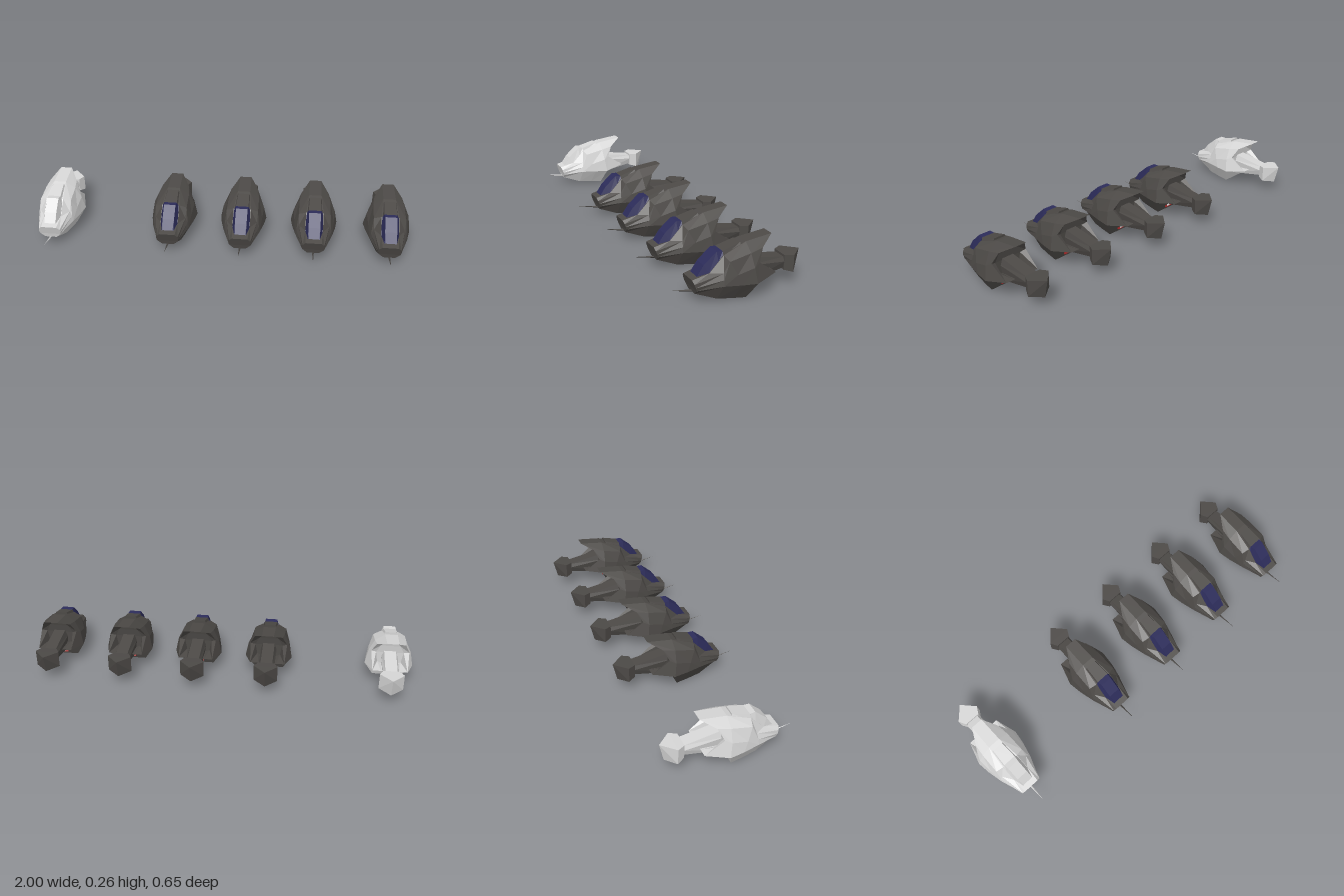
import * as THREE from 'three';

const mat = (name, color) => {
  const m = new THREE.MeshStandardMaterial({ color });
  m.name = name;
  return m;
};

// Faceted loft. Each ring lists the +x half from bottom to top as [x, y, z];
// it is mirrored to -x, and rings run from front to back.
function loft(halfRings) {
  const rings = halfRings.map(h => [
    ...h.map(p => new THREE.Vector3(...p)),
    ...[...h].reverse().map(([x, y, z]) => new THREE.Vector3(-x, y, z)),
  ]);
  const n = rings[0].length;
  const pos = [];
  const tri = (a, b, c) => {
    const area = b.clone().sub(a).cross(c.clone().sub(a)).length();
    if (area > 1e-8) for (const v of [a, b, c]) pos.push(v.x, v.y, v.z);
  };
  for (let i = 0; i + 1 < rings.length; i++) {
    for (let j = 0; j < n; j++) {
      const k = (j + 1) % n;
      const a = rings[i][j], b = rings[i][k];
      const c = rings[i + 1][k], d = rings[i + 1][j];
      // the diagonal flips on the mirrored half
      if (j < n / 2) { tri(a, d, c); tri(a, c, b); }
      else { tri(a, d, b); tri(b, d, c); }
    }
  }
  // end caps, in strips across the mirror plane
  const first = rings[0], last = rings[rings.length - 1];
  for (let j = 0; j + 1 < n / 2; j++) {
    const q = [j, j + 1, n - 2 - j, n - 1 - j];
    const [a, b, c, d] = q.map(i => first[i]);
    tri(a, b, c); tri(a, c, d);
    const [e, f, g, h] = q.map(i => last[i]);
    tri(e, g, f); tri(e, h, g);
  }
  const geo = new THREE.BufferGeometry();
  geo.setAttribute('position', new THREE.Float32BufferAttribute(pos, 3));
  geo.computeVertexNormals();
  return geo;
}

// Hull lines from bottom to top: belly, belt, side, shoulder, roof
const hullGeometry = () => {
  const widest = [[0.122, 0.08, -0.04], [0.108, 0.15, -0.03], [0.08, 0.208, -0.025], [0.032, 0.244, -0.025]];
  return loft([
    [[0.03, 0.045, 0.215], [0.055, 0.068, 0.22], [0.058, 0.084, 0.225], [0.055, 0.1, 0.23], [0.04, 0.115, 0.235]],
    [[0.055, 0.013, 0.12], [0.095, 0.085, 0.11], [0.09, 0.112, 0.108], [0.078, 0.138, 0.105], [0.045, 0.135, 0.155]],
    [[0.067, 0.007, 0.05], [0.113, 0.083, 0.03], [0.103, 0.13, 0.05], [0.082, 0.188, 0.078], [0.045, 0.205, 0.088]],
    [[0.075, 0.002, -0.012], ...widest],
    // belly ends in a slanted rear wall
    [[0.075, 0.08, -0.04], ...widest],
    // side spikes and roof fin
    [[0.045, 0.1, -0.15], [0.088, 0.1, -0.15], [0.096, 0.165, -0.06], [0.072, 0.22, -0.087], [0.03, 0.26, -0.155]],
    // recess around the boom
    [[0.04, 0.09, -0.05], [0.06, 0.1, -0.05], [0.07, 0.155, -0.05], [0.05, 0.195, -0.055], [0.025, 0.22, -0.06]],
  ]);
};

const canopyGeometry = () => loft([
  [[0.03, 0.116, 0.212], [0.025, 0.121, 0.207]],
  [[0.044, 0.132, 0.157], [0.03, 0.17, 0.175]],
  [[0.044, 0.178, 0.112], [0.03, 0.222, 0.115]],
  [[0.043, 0.2, 0.088], [0.033, 0.22, 0.088]],
]);

const spineGeometry = () => loft([
  [[0.042, 0.195, 0.088], [0.033, 0.22, 0.088]],
  [[0.04, 0.225, 0], [0.028, 0.245, 0]],
]);

const boomGeometry = () => loft([
  [[0.03, 0.043, -0.02], [0.042, 0.132, -0.02], [0.03, 0.168, -0.02]],
  [[0.03, 0.083, -0.228], [0.04, 0.115, -0.228], [0.03, 0.135, -0.228]],
]);

const tailGeometry = () => loft([
  [[0.04, 0.075, -0.225], [0.04, 0.146, -0.225]],
  [[0.06, 0.066, -0.262], [0.06, 0.147, -0.262]],
  [[0, 0.055, -0.305], [0, 0.148, -0.327]],
]);

// Thin four-sided needle under the nose
function needleGeometry() {
  const from = new THREE.Vector3(0, 0.045, 0.2);
  const to = new THREE.Vector3(0, 0.067, 0.326);
  const dir = to.clone().sub(from);
  const geo = new THREE.ConeGeometry(0.006, dir.length(), 4).toNonIndexed();
  geo.computeVertexNormals();
  geo.applyQuaternion(new THREE.Quaternion().setFromUnitVectors(new THREE.Vector3(0, 1, 0), dir.normalize()));
  return geo.translate(0, 0.056, 0.263);
}

// Thin plate lying on the slanted rear wall of the belly
function rearPlateGeometry(width, height, thickness) {
  return new THREE.BoxGeometry(width, height, thickness)
    .rotateX(Math.atan2(0.028, 0.078))
    .translate(0, 0.024, -0.02);
}

export function createModel() {
  const dark = mat('charcoal', 0x4c4946);
  const pale = mat('pale grey', 0xd6d6d6);
  const navy = mat('navy glass', 0x2c2c5a);
  const red = mat('red', 0xa02828);

  const parts = {
    hull: hullGeometry(), canopy: canopyGeometry(), spine: spineGeometry(),
    boom: boomGeometry(), tail: tailGeometry(), needle: needleGeometry(),
  };
  const redPlate = rearPlateGeometry(0.05, 0.018, 0.003);
  const palePlate = rearPlateGeometry(0.02, 0.01, 0.006);

  const model = new THREE.Group();
  model.name = 'shipRow';
  [-0.878, -0.255, 0.12, 0.495, 0.878].forEach((x, i) => {
    const body = i === 0 ? pale : dark;
    const ship = new THREE.Group();
    ship.name = i === 0 ? 'paleShip' : `darkShip${i}`;
    ship.position.x = x;
    const add = (name, geo, material) => {
      const mesh = new THREE.Mesh(geo, material);
      mesh.name = name;
      ship.add(mesh);
    };
    for (const [name, geo] of Object.entries(parts)) {
      add(name, geo, name === 'canopy' && i > 0 ? navy : body);
    }
    // rear markings on the dark ships only
    if (i > 0) {
      add('rearRedPlate', redPlate, red);
      add('rearPalePlate', palePlate, pale);
    }
    model.add(ship);
  });
  return model;
}
